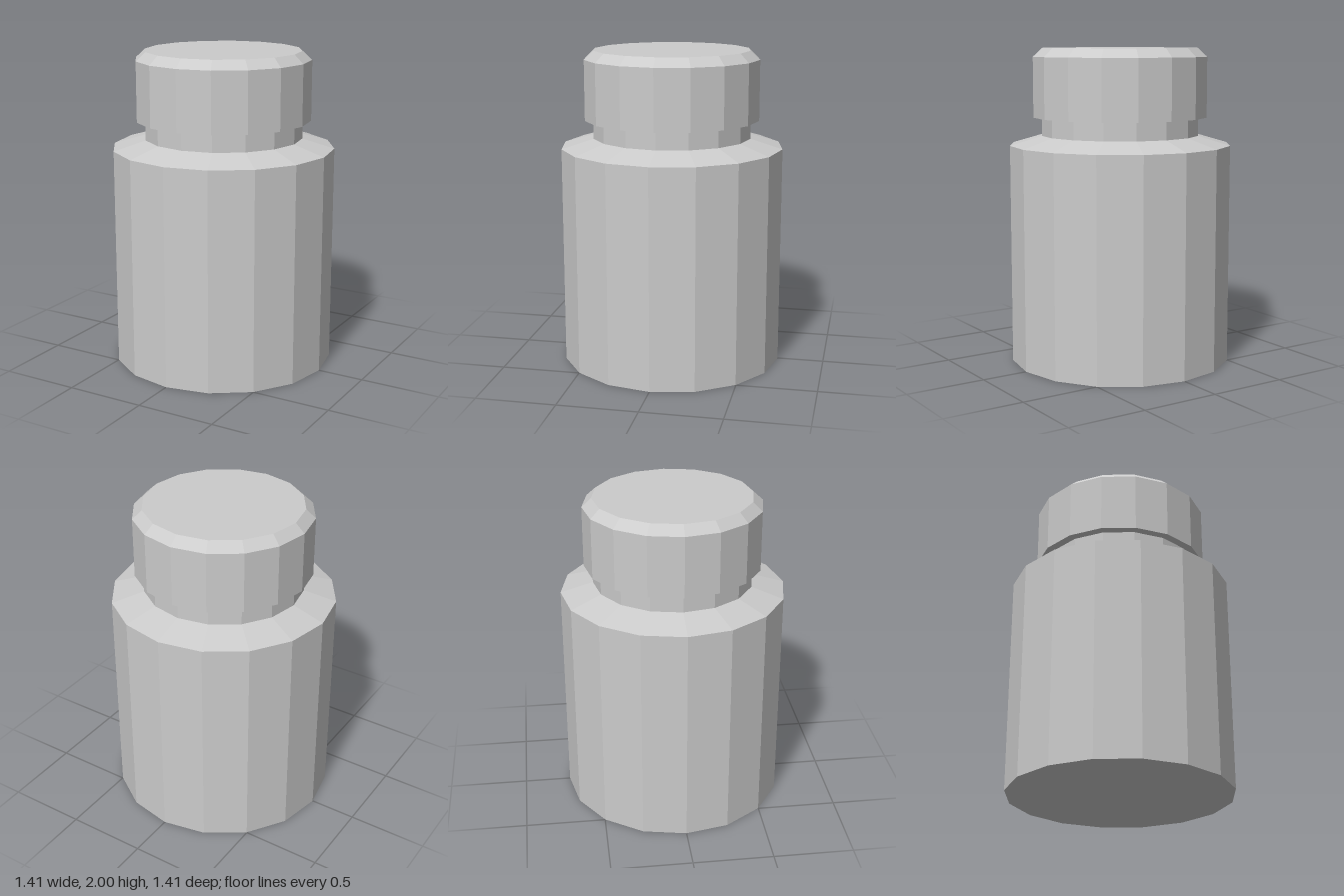
import * as THREE from 'three';

const SIDES = 16;

// Faceted solid of revolution from [radius, height] pairs, bottom to top
function turned(name, profile) {
  const points = profile.map(([r, y]) => new THREE.Vector2(r, y));
  const material = new THREE.MeshStandardMaterial({ color: 0xcccccc, flatShading: true });
  const mesh = new THREE.Mesh(new THREE.LatheGeometry(points, SIDES), material);
  mesh.name = name;
  return mesh;
}

export function createModel() {
  const jar = new THREE.Group();
  jar.name = 'jar';

  // Body with sloped shoulder and narrow neck
  jar.add(turned('body', [
    [0, 0], [0.705, 0], [0.705, 1.39], [0.502, 1.45], [0.502, 1.565],
  ]));

  // Overhanging lid with a chamfered top edge
  jar.add(turned('lid', [
    [0, 1.565], [0.555, 1.565], [0.555, 1.945], [0.495, 2], [0, 2],
  ]));

  return jar;
}
